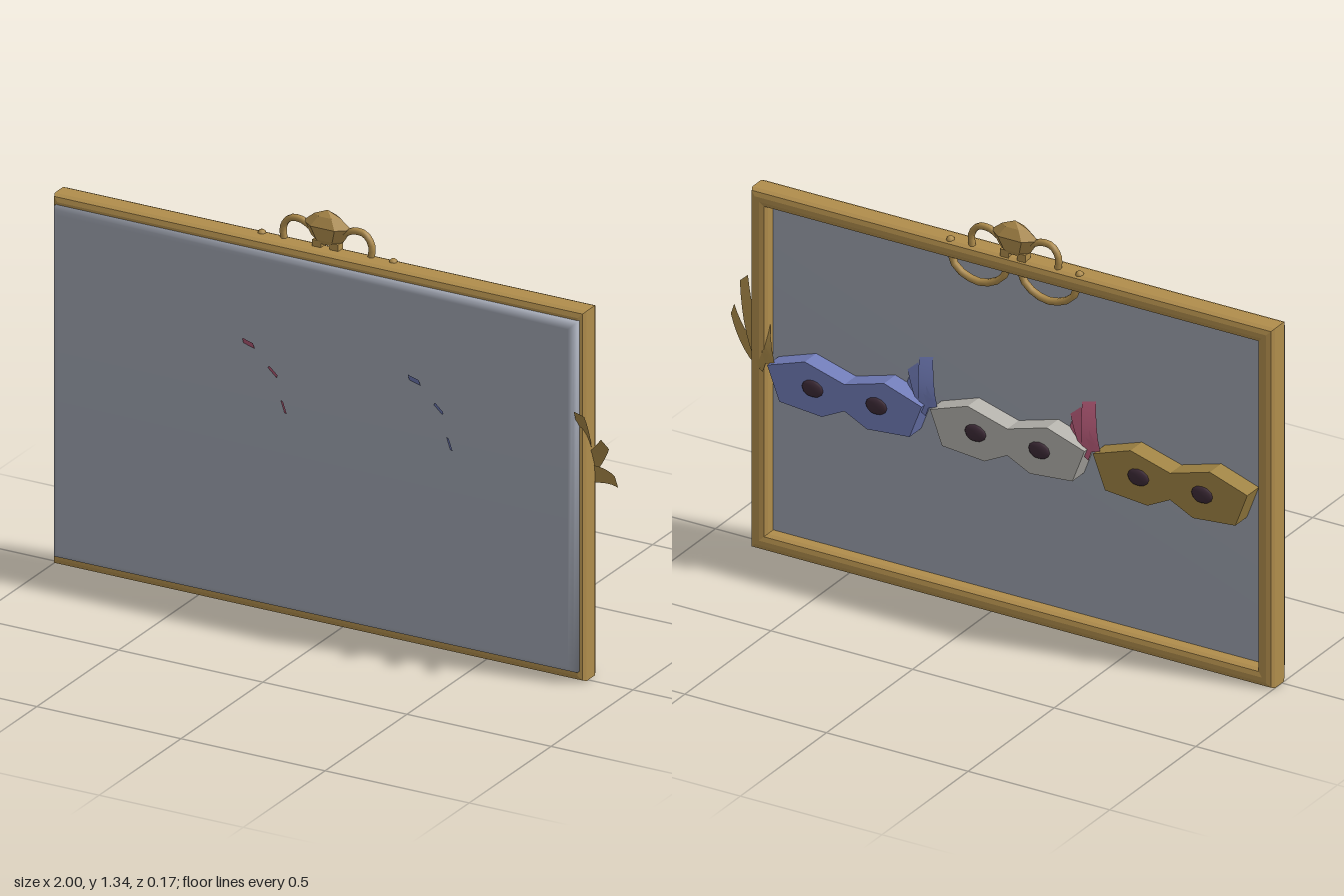
import * as THREE from 'three';
import { mergeVertices } from 'three/addons/utils/BufferGeometryUtils.js';

const CX = -0.078; // centre of the frame, which is offset by the feathers on its left side

function rectPath(Type, x0, x1, y0, y1) {
  return new Type([[x0, y0], [x1, y0], [x1, y1], [x0, y1]].map(([x, y]) => new THREE.Vector2(x, y)));
}

// Feather: a tapering strip that runs outwards and curls forward through the panel
function featherGeometry(dx, dy) {
  const g = new THREE.PlaneGeometry(1, 1, 1, 7);
  const p = g.attributes.position;
  const len = Math.hypot(dx, dy);
  for (let i = 0; i < p.count; i++) {
    const t = p.getY(i) + 0.5;
    const side = p.getX(i) * (0.065 - 0.027 * t);
    p.setXYZ(i, dx * t + (dy / len) * side, dy * t - (dx / len) * side, -0.062 + 0.145 * Math.pow(t, 1.6));
  }
  g.computeVertexNormals();
  return g;
}

function tube(points, radius) {
  const curve = new THREE.CatmullRomCurve3(points.map(([x, y, z]) => new THREE.Vector3(x, y, z)));
  return new THREE.TubeGeometry(curve, 10, radius, 6);
}

export function createModel() {
  const root = new THREE.Group();
  const mat = (name, color, extra = {}) => {
    const m = new THREE.MeshStandardMaterial({ color, ...extra });
    m.name = name;
    return m;
  };
  const gold = mat('gold', 0xb08d4c);
  const featherGold = mat('featherGold', 0xa88848, { side: THREE.DoubleSide });
  const maskGold = mat('maskGold', 0xa08444);
  const slate = mat('slateGrey', 0x9da2ae);
  const blue = mat('blue', 0x717cb8, { side: THREE.DoubleSide });
  const rose = mat('rose', 0xb85c7a, { side: THREE.DoubleSide });
  const pale = mat('paleGrey', 0xb4b2ac);
  const dark = mat('darkPlum', 0x3c2a36);

  const add = (name, geometry, material, parent = root) => {
    const m = new THREE.Mesh(geometry, material);
    m.name = name;
    parent.add(m);
    return m;
  };

  // Frame with bevelled bars
  const b = 0.02;
  const frameShape = rectPath(THREE.Shape, -1 + b, 0.845 - b, b, 1.213 - b);
  frameShape.holes.push(rectPath(THREE.Path, -0.945 - b, 0.79 + b, 0.055 - b, 1.158 + b));
  const frame = add('frame', new THREE.ExtrudeGeometry(frameShape, {
    depth: 0.05, bevelEnabled: true, bevelThickness: 0.02, bevelSize: b, bevelSegments: 2,
  }), gold);
  frame.position.z = -0.04;

  // Panel with a bevelled front and softly blended normals
  let panelGeo = new THREE.ExtrudeGeometry(rectPath(THREE.Shape, -0.963, 0.808, 0.057, 1.163), {
    depth: 0.03, bevelEnabled: true, bevelThickness: 0.02, bevelSize: 0.022, bevelSegments: 2,
  });
  panelGeo.deleteAttribute('normal');
  panelGeo.deleteAttribute('uv');
  panelGeo = mergeVertices(panelGeo, 1e-4);
  panelGeo.computeVertexNormals();
  add('panel', panelGeo, slate).position.z = 0.01;

  // Two-lobed masks on the back, each with two domed eyes and a fan of feathers
  const half = [[0, 0.56], [0.08, 0.52], [0.23, 0.533], [0.2725, 0.645], [0.14, 0.69], [0, 0.65]];
  const outline = [...half, ...half.slice(1, -1).reverse().map(([x, y]) => [-x, y])];
  const maskGeo = new THREE.ExtrudeGeometry(
    new THREE.Shape(outline.map(([x, y]) => new THREE.Vector2(x, y))), { depth: 0.067, bevelEnabled: false });
  const eyeGeo = new THREE.SphereGeometry(1, 10, 6);
  eyeGeo.scale(0.038, 0.028, 0.012);
  const featherGeos = [[0.075, 0.265], [0.165, 0.185], [0.205, 0.07]].map(([x, y]) => featherGeometry(x, y));
  [['gold', maskGold, rose], ['pale', pale, blue], ['blue', blue, featherGold]].forEach(([name, maskMat, fanMat], i) => {
    const g = new THREE.Group();
    g.name = name + 'Mask';
    g.position.x = -0.652 + i * 0.575;
    root.add(g);
    add('maskBody', maskGeo, maskMat, g).position.z = -0.077;
    for (const s of [-1, 1]) add('eye', eyeGeo, dark, g).position.set(s * 0.1125, 0.607, -0.077);
    for (const f of featherGeos) add('feather', f, fanMat, g).position.set(0.287, 0.64, 0);
  });

  // Crest on the top bar: faceted bud, arched arms, hanging swags and end studs
  const crest = new THREE.Group();
  crest.name = 'crest';
  crest.position.set(CX, 1.21, -0.033);
  root.add(crest);
  const budGeo = new THREE.LatheGeometry(
    [[0, 0.01], [0.03, 0.014], [0.055, 0.03], [0.084, 0.075], [0.045, 0.106], [0, 0.125]].map(([x, y]) => new THREE.Vector2(x, y)),
    6, Math.PI / 6 * 3);
  budGeo.scale(1, 1, 0.45);
  const budMat = mat('facetedGold', 0xb08d4c, { flatShading: true });
  add('bud', budGeo, budMat, crest);
  for (const s of [-1, 1]) {
    add('arm', tube([[s * 0.06, 0.06, 0], [s * 0.09, 0.075, 0], [s * 0.13, 0.072, 0],
      [s * 0.153, 0.04, 0], [s * 0.15, -0.01, 0]], 0.011), gold, crest);
    add('swag', tube([[s * 0.23, -0.01, -0.005], [s * 0.205, -0.08, -0.005], [s * 0.123, -0.112, -0.005],
      [s * 0.045, -0.08, -0.005], [s * 0.012, -0.01, -0.005]], 0.012), gold, crest);
    add('stud', new THREE.SphereGeometry(0.014, 8, 6), gold, crest).position.set(s * 0.228, 0, 0);
    add('foot', new THREE.BoxGeometry(0.03, 0.025, 0.03), gold, crest).position.set(s * 0.03, 0.012, 0);
  }
  return root;
}
